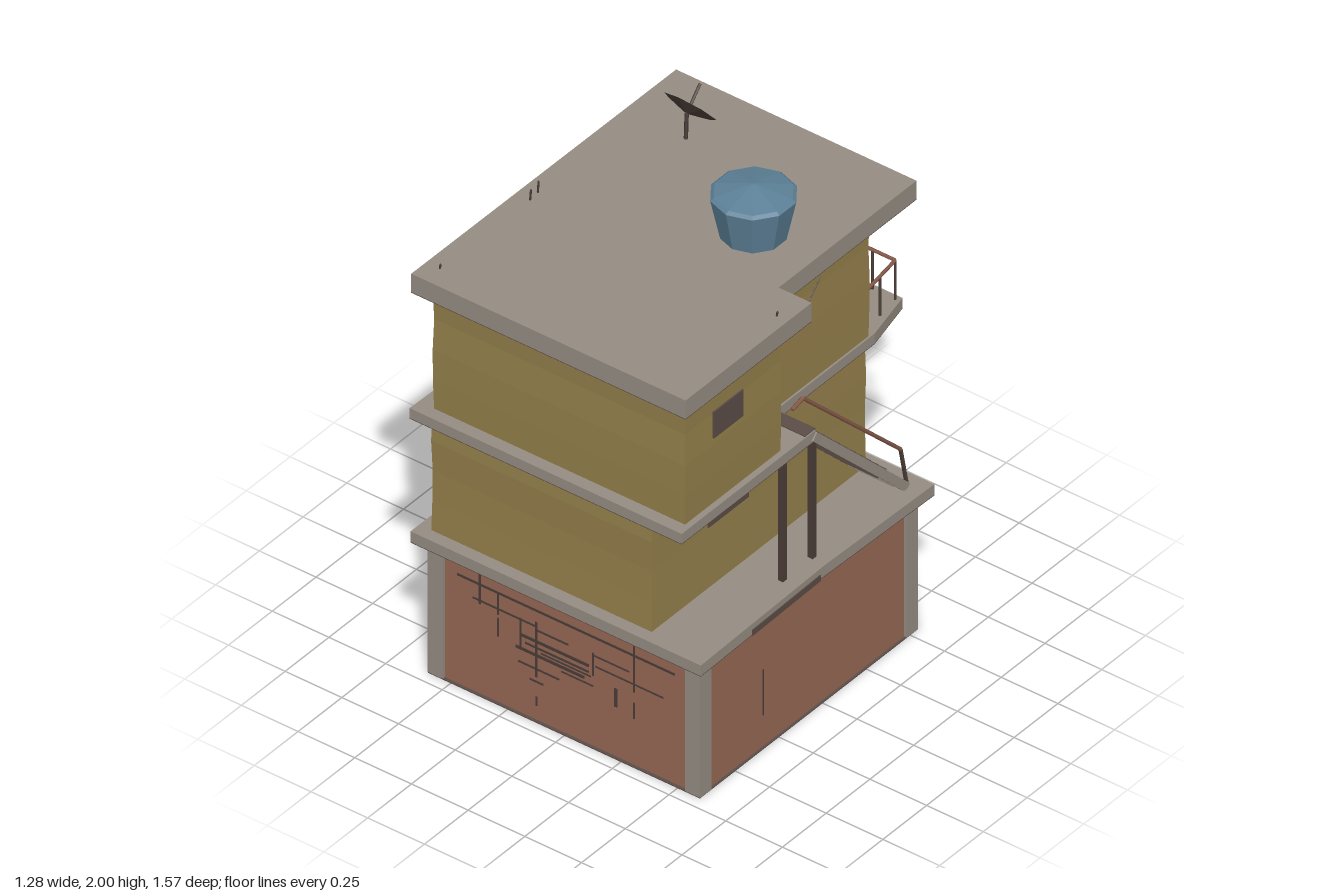
import * as THREE from 'three';

const mat = (name, color, extra = {}) =>
  Object.assign(new THREE.MeshStandardMaterial({ color, ...extra }), { name });

export function createModel() {
  const root = new THREE.Group();
  root.name = 'house';
  const concrete = mat('concrete', 0x968e83);
  const ochre = mat('ochre plaster', 0x96814c);
  const brick = mat('brick', 0x986955);
  const paleBrick = mat('pale brick', 0xcb9277);
  const dark = mat('dark iron', 0x4a3d38, { side: THREE.DoubleSide });
  const pane = mat('dusty pane', 0x9a928b);
  const brown = mat('dark brown', 0x5c4d47);
  const rust = mat('rusty rail', 0x8b5d4d, { side: THREE.DoubleSide });
  const blue = mat('water tank blue', 0x5d8198);
  const pale = mat('pale dish', 0xb8b0a5);
  for (const m of [concrete, ochre, brick, dark, blue]) m.flatShading = true;

  const add = (name, geo, m, parent = root) => {
    const mesh = new THREE.Mesh(geo, m);
    mesh.name = name;
    parent.add(mesh);
    return mesh;
  };
  const group = (name, parent = root) => {
    const g = new THREE.Group();
    g.name = name;
    parent.add(g);
    return g;
  };
  const box = (name, m, [x, y, z], [w, h, d], parent = root) => {
    const mesh = add(name, new THREE.BoxGeometry(w, h, d), m, parent);
    mesh.position.set(x, y, z);
    return mesh;
  };
  // Round bar between two points
  const bar = (name, a, b, r, m, parent = root) => {
    const p = new THREE.Vector3(...a), q = new THREE.Vector3(...b);
    const mesh = add(name, new THREE.CylinderGeometry(r, r, p.distanceTo(q), 5), m, parent);
    mesh.position.copy(p).lerp(q, 0.5);
    mesh.quaternion.setFromUnitVectors(new THREE.Vector3(0, 1, 0), q.sub(p).normalize());
  };
  // Upright prism from a plan outline of [x, z] points; sag pulls the walls in slightly
  const prism = (name, plan, y0, y1, m, sag = 0) => {
    const shape = new THREE.Shape(plan.map(([x, z]) => new THREE.Vector2(x, -z)));
    const geo = new THREE.ExtrudeGeometry(shape, { depth: y1 - y0, steps: sag ? 4 : 1, bevelEnabled: false });
    geo.rotateX(-Math.PI / 2).translate(0, y0, 0);
    const p = geo.attributes.position;
    for (let i = 0; sag && i < p.count; i++) {
      const s = 1 - sag * (0.5 + 0.5 * Math.sin(p.getY(i) * 17));
      p.setX(i, p.getX(i) * s);
      p.setZ(i, p.getZ(i) * s);
    }
    geo.computeVertexNormals();
    add(name, geo, m);
  };
  // Concrete slab with a dark underside
  const slab = (name, plan, y0, y1) => {
    prism(name, plan, y0 + 0.003, y1, concrete);
    prism(name + 'Soffit', plan, y0, y0 + 0.003, brown);
  };
  const rect = (x0, x1, z0, z1) => [[x0, z1], [x1, z1], [x1, z0], [x0, z0]];

  // Ground floor with corner columns and a paler back wall
  prism('groundFloorWalls', rect(-0.59, 0.59, -0.53, 0.69), 0.004, 0.585, brick);
  box('paleBackWall', paleBrick, [0, 0.292, -0.531], [1.06, 0.575, 0.006]);
  box('basePlate', brown, [0, 0.002, 0.08], [1.198, 0.004, 1.244]);
  for (const x of [-0.568, 0.568])
    for (const z of [-0.51, 0.67]) box('cornerColumn', concrete, [x, 0.293, z], [0.066, 0.578, 0.066]);

  // Upper floors
  prism('middleFloorWalls', rect(-0.588, 0.385, -0.525, 0.7), 0.62, 1.15, ochre, 0.008);
  prism('topFloorWalls', [[-0.56, 0.73], [0.555, 0.73], [0.555, 0.18], [0.39, 0.18], [0.39, -0.54], [-0.56, -0.54]],
    1.18, 1.71, ochre, 0.008);

  // Slabs
  slab('lowerSlab', [[-0.64, 0.75], [0.64, 0.75], [0.625, 0.02], [0.64, -0.585], [-0.64, -0.585]], 0.578, 0.627);
  slab('balconySlab', [[-0.625, 0.775], [0.575, 0.775], [0.575, 0.01], [0.395, 0.01], [0.395, -0.56],
    [0.345, -0.785], [-0.585, -0.785]], 1.14, 1.186);
  slab('roofSlab', [[-0.61, 0.785], [0.6, 0.785], [0.6, 0.065], [0.455, 0.065], [0.455, -0.722], [-0.605, -0.722]],
    1.702, 1.785);
  prism('chippedSlabEdge', [[0.55, 0.45], [0.637, 0.45], [0.629, 0.05], [0.55, 0.05]], 0.576, 0.602, brown);

  // Doors and windows facing local +z: panes have a dark frame, brown ones are plain
  const opening = (name, [x, y, z], w, h, turn, fill, isDoor) => {
    const g = group(name);
    g.position.set(x, y, z);
    g.rotation.y = turn;
    const t = 0.017;
    box('pane', fill, [0, 0, 0.003], [w, h, 0.006], g);
    if (fill !== pane) return;
    for (const s of [-1, 1]) {
      box('frameSide', dark, [s * (w - t) / 2, 0, 0.004], [t, h, 0.009], g);
      if (s > 0 || !isDoor) box('frameRail', dark, [0, s * (h - t) / 2, 0.004], [w, t, 0.009], g);
    }
    if (isDoor) box('handle', dark, [w * 0.3, -0.02, 0.006], [0.014, 0.035, 0.007], g);
    else box('mullion', dark, [0.02, h * 0.3, 0.005], [0.01, h * 0.35, 0.006], g);
  };
  const back = Math.PI, side = Math.PI / 2;
  opening('groundDoor', [0.18, 0.24, -0.534], 0.24, 0.47, back, pane, true);
  opening('groundWindow', [-0.285, 0.34, -0.534], 0.27, 0.27, back, pane);
  opening('middleDoor', [0.245, 0.845, -0.525], 0.2, 0.44, back, pane, true);
  opening('middleWindow', [-0.31, 0.95, -0.525], 0.21, 0.22, back, pane);
  opening('balconyDoor', [0.025, 1.405, -0.54], 0.24, 0.44, back, pane, true);
  opening('landingDoor', [0.465, 1.385, 0.18], 0.13, 0.4, back, brown, true);
  opening('topSideWindow', [0.553, 1.53, 0.485], 0.17, 0.115, side, brown);
  opening('middleSideWindow', [0.383, 0.955, 0.265], 0.23, 0.125, side, brown);

  // Staircase up to the landing
  const stairs = group('staircase');
  const bottom = [0.63, -0.51], top = [1.165, 0.02];
  const run = top[1] - bottom[1], rise = top[0] - bottom[0];
  for (const x of [0.4, 0.572]) {
    const s = box('stringer', concrete, [x, (bottom[0] + top[0]) / 2, (bottom[1] + top[1]) / 2],
      [0.018, 0.035, Math.hypot(run, rise)], stairs);
    s.rotation.x = -Math.atan2(rise, run);
  }
  for (let i = 1; i <= 11; i++) {
    const t = i / 12;
    box('tread', i < 3 ? concrete : brown, [0.486, bottom[0] + rise * t, bottom[1] + run * t], [0.165, 0.014, 0.05], stairs);
  }
  box('landingTread', brown, [0.483, 1.187, 0.035], [0.175, 0.006, 0.06], stairs);
  for (const z of [0.18, 0.01]) box('landingPost', dark, [0.56, 0.885, z], [0.022, 0.52, 0.022], stairs);
  const rail = [[0.572, 1.35, 0.14], [0.572, 1.365, 0.08], [0.572, 0.81, -0.48], [0.572, 0.64, -0.515]];
  for (let i = 0; i < 3; i++) bar('handrail', rail[i], rail[i + 1], 0.008, i < 2 ? rust : dark, stairs);

  // Balcony railing on three sides
  const railing = group('balconyRailing');
  const corners = [[0.36, -0.55], [0.33, -0.762], [-0.57, -0.762], [-0.575, -0.55]];
  [2, 9, 2].forEach((n, k) => {
    const [a, b] = [corners[k], corners[k + 1]];
    bar('topRail', [a[0], 1.357, a[1]], [b[0], 1.357, b[1]], 0.007, rust, railing);
    for (let i = 0; i <= n; i++) {
      const x = a[0] + (b[0] - a[0]) * i / n, z = a[1] + (b[1] - a[1]) * i / n;
      bar('baluster', [x, 1.18, z], [x, 1.355, z], 0.005, dark, railing);
    }
  });
  const cloth = new THREE.Shape([[-0.1, 0.08], [0, 0], [0.1, 0.08]].map((p) => new THREE.Vector2(...p)));
  const hung = add('hangingCloth', new THREE.ShapeGeometry(cloth), rust, railing);
  hung.position.set(-0.585, 1.277, -0.65);
  hung.rotation.y = side;

  // Water tank
  const tank = [[0, 1.785], [0.122, 1.785], [0.138, 1.86], [0.158, 1.955], [0.145, 1.966], [0, 2]];
  const tankMesh = add('waterTank', new THREE.LatheGeometry(tank.map((p) => new THREE.Vector2(...p)), 10), blue);
  tankMesh.position.set(0.19, 0, -0.135);

  // Satellite dish: shallow cone, pale inside and dark outside, aimed back and up
  const dish = group('satelliteDish');
  dish.position.set(-0.333, 1.9, -0.44);
  dish.quaternion.setFromUnitVectors(new THREE.Vector3(0, 1, 0), new THREE.Vector3(0, 0.64, -0.77).normalize());
  add('dishBack', new THREE.CylinderGeometry(0.106, 0.012, 0.025, 7, 1, true), dark, dish);
  const inner = new THREE.ConeGeometry(0.106, 0.022, 7, 1, true).rotateX(Math.PI);
  inner.index.array.reverse();
  inner.computeVertexNormals();
  const face = add('dishFace', inner, pale, dish);
  face.position.y = 0.004;
  face.rotation.y = Math.PI; // lines the seven corners up with the back
  bar('feedArm', [0, 0, 0], [0, 0.1, 0.015], 0.006, dark, dish);
  bar('dishPole', [-0.333, 1.78, -0.425], [-0.333, 1.89, -0.43], 0.008, dark);

  // Bare reinforcement rods on the roof and a loose pole along the side wall
  for (const [x, z, h] of [[-0.55, 0.14, 0.05], [-0.545, 0.19, 0.045], [-0.55, 0.7, 0.02], [0.55, 0.2, 0.02]])
    bar('roofRod', [x, 1.78, z], [x + 0.004, 1.785 + h, z], 0.004, dark);
  bar('wallPole', [-0.564, 1.25, -0.54], [-0.564, 1.31, -0.1], 0.005, dark);

  // Cracks in the front brickwork: x, y, width, height
  const cracks = [[0, 0.48, 0.96, 0.009], [-0.27, 0.41, 0.28, 0.007], [0.28, 0.355, 0.3, 0.006], [-0.05, 0.345, 0.3, 0.012],
    [-0.04, 0.318, 0.28, 0.008], [-0.07, 0.285, 0.3, 0.012], [0.05, 0.265, 0.14, 0.006], [-0.12, 0.225, 0.18, 0.007],
    [-0.38, 0.46, 0.007, 0.13], [-0.3, 0.43, 0.007, 0.09], [-0.2, 0.35, 0.008, 0.13], [-0.13, 0.31, 0.009, 0.24],
    [0.12, 0.36, 0.007, 0.1], [0.22, 0.26, 0.012, 0.08], [0.3, 0.42, 0.007, 0.2], [-0.13, 0.17, 0.06, 0.007],
    [-0.13, 0.085, 0.007, 0.04], [0.2, 0.4, 0.16, 0.006], [0, 0.302, 0.22, 0.006], [0.3, 0.24, 0.006, 0.07],
    [-0.3, 0.33, 0.007, 0.08], [-0.06, 0.395, 0.14, 0.007]];
  const marks = group('brickCracks');
  for (const [x, y, w, h] of cracks) box('crack', dark, [x, y, 0.691], [w, h, 0.004], marks);
  box('sideCrack', dark, [0.591, 0.24, 0.33], [0.004, 0.2, 0.006], marks);
  bar('plasterCrack', [0.388, 1.515, -0.17], [0.388, 1.61, -0.26], 0.003, dark, marks);
  return root;
}
